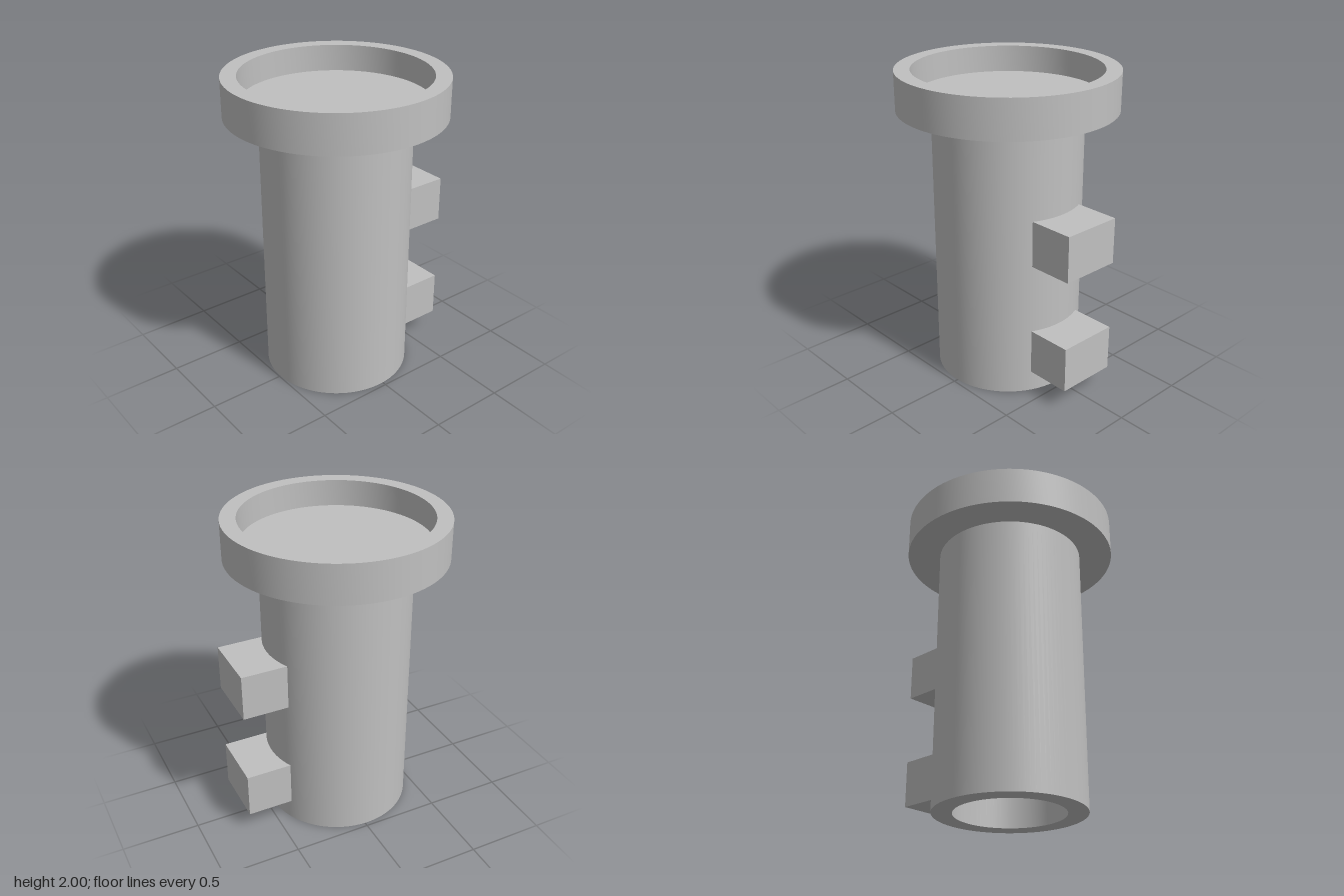
import * as THREE from 'three';
import { toCreasedNormals } from 'three/addons/utils/BufferGeometryUtils.js';

const AXIS_X = -0.02;

export function createModel() {
  const model = new THREE.Group();
  model.name = 'flangedSleeve';

  const grey = new THREE.MeshStandardMaterial({ color: 0xc0c0c0 });
  grey.name = 'plain grey';

  const add = (name, geometry, x, y) => {
    const mesh = new THREE.Mesh(geometry, grey);
    mesh.name = name;
    mesh.position.set(x, y, 0);
    model.add(mesh);
  };

  // Hollow sleeve with a recessed flange, turned from one closed profile
  const profile = [
    [0, 1.755], [0.345, 1.755], // ceiling of the bore
    [0.345, 0], [0.472, 0], // bore wall and bottom ring
    [0.472, 1.755], [0.685, 1.755], // sleeve and flange underside
    [0.685, 2], [0.587, 2], // flange side and rim
    [0.587, 1.83], [0, 1.83], // recess
  ].map(([r, y]) => new THREE.Vector2(r, y));
  add('sleeveAndFlange', toCreasedNormals(new THREE.LatheGeometry(profile, 96), 0.6), AXIS_X, 0);

  // Two mounting lugs sunk into the sleeve wall
  const inner = 0.36, outer = 0.703;
  [['lowerLug', 0.285], ['upperLug', 1.033]].forEach(([name, y]) =>
    add(name, new THREE.BoxGeometry(outer - inner, 0.297, 0.398), (inner + outer) / 2, y));

  return model;
}
